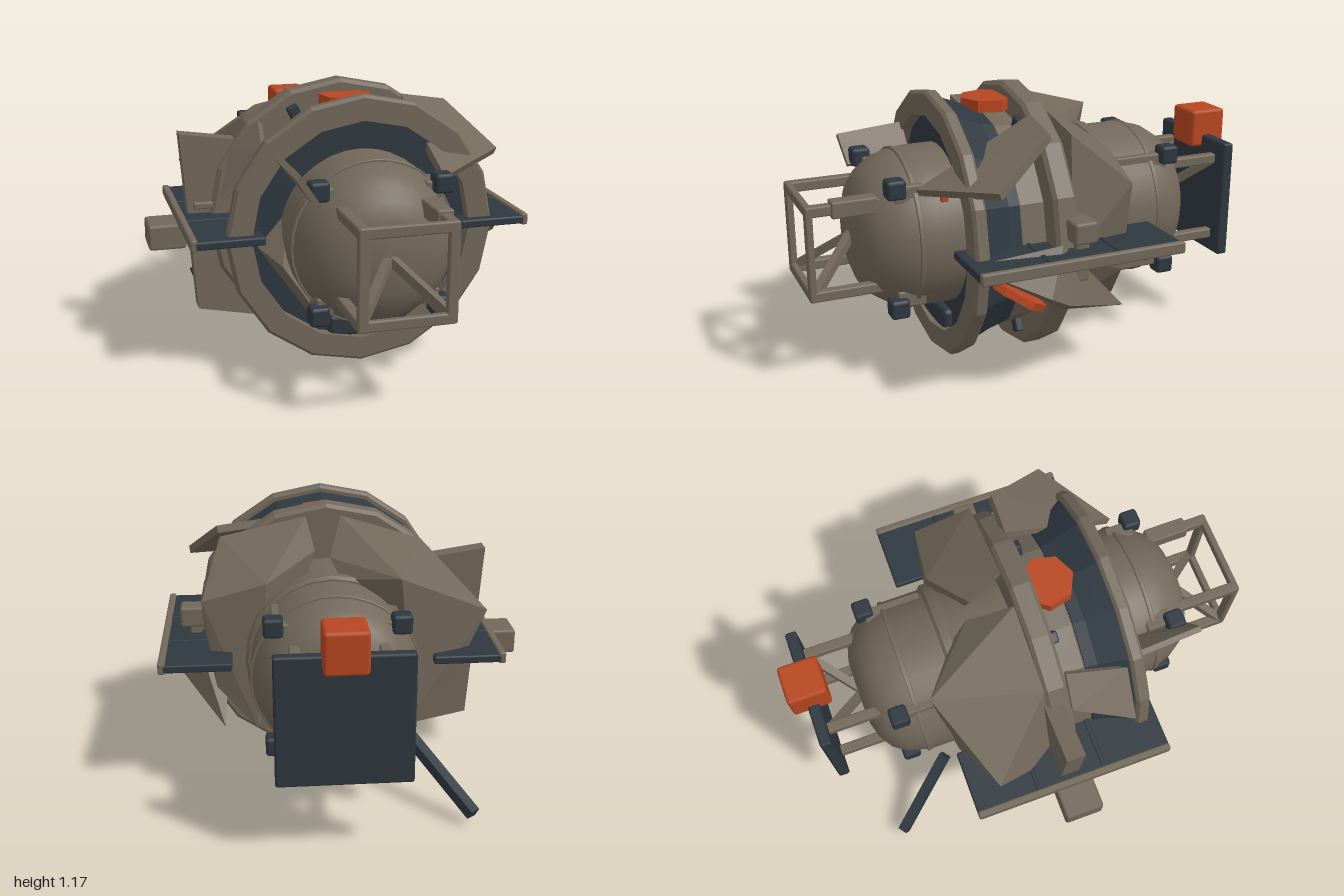
import * as THREE from 'three';
import { RoundedBoxGeometry } from 'three/addons/geometries/RoundedBoxGeometry.js';
import { ConvexGeometry } from 'three/addons/geometries/ConvexGeometry.js';
import { toCreasedNormals } from 'three/addons/utils/BufferGeometryUtils.js';

const CX = 0.06, CY = 0.595; // hull axis

export function createModel() {
  const model = new THREE.Group();
  const material = (name, color) => {
    const m = new THREE.MeshStandardMaterial({ color });
    m.name = name;
    return m;
  };
  const tan = material('weathered tan', 0x72685a);
  const navy = material('dark slate', 0x2e3840);
  const orange = material('signal orange', 0xb84720);

  const add = (name, geometry, mat, x = 0, y = 0, z = 0) => {
    const mesh = new THREE.Mesh(geometry, mat);
    mesh.name = name;
    mesh.position.set(x, y, z);
    model.add(mesh);
    return mesh;
  };
  const box = (name, mat, size, pos, bevel = 0.008) =>
    add(name, new RoundedBoxGeometry(...size, 1, bevel), mat, ...pos);

  // Lathe around the z axis; profile is [radius, z]
  const lathe = (name, mat, profile, sides, crease) => {
    const g = new THREE.LatheGeometry(profile.map(p => new THREE.Vector2(...p)), sides);
    g.rotateX(Math.PI / 2);
    return add(name, toCreasedNormals(g, crease), mat, CX, CY, 0);
  };
  const band = (name, mat, r0, r1, z0, z1, sides, b = 0.012) =>
    lathe(name, mat, [[r0, z0], [r1 - b, z0], [r1, z0 + b], [r1, z1 - b], [r1 - b, z1], [r0, z1], [r0, z0]], sides, sides > 20 ? 0.6 : 0.1);

  // Square bar between two points
  const beam = (name, mat, a, b, w) => {
    const p = new THREE.Vector3(...a), q = new THREE.Vector3(...b);
    const mesh = add(name, new THREE.BoxGeometry(w, w, p.distanceTo(q)), mat);
    mesh.position.copy(p).lerp(q, 0.5);
    mesh.lookAt(q);
    return mesh;
  };
  // Faceted chunk through a few corners
  const chunk = (name, mat, points) =>
    add(name, toCreasedNormals(new ConvexGeometry(points.map(p => new THREE.Vector3(...p))), 0.05), mat);
  // Thin plate: corners doubled along an offset
  const plate = (name, mat, points, o) =>
    chunk(name, mat, points.concat(points.map(p => p.map((v, i) => v + o[i]))));

  // Hull with domed ends
  lathe('hull', tan, [[0, -0.72], [0.15, -0.72], [0.22, -0.7], [0.28, -0.66], [0.32, -0.6], [0.345, -0.5],
    [0.345, 0.5], [0.335, 0.58], [0.31, 0.65], [0.27, 0.71], [0.22, 0.75], [0.15, 0.775], [0, 0.78]], 32, 0.6);
  band('rearCollar', tan, 0.3, 0.365, -0.33, -0.27, 24);
  band('rearBand', tan, 0.3, 0.349, -0.52, -0.5, 32, 0.003);
  band('frontBand', tan, 0.3, 0.346, 0.555, 0.575, 32, 0.003);

  // Dish with a flat front, and the two large rings
  lathe('dish', navy, [[0.3, 0.2], [0.49, 0.2], [0.5, 0.25], [0.55, 0.38], [0.3, 0.38]], 16, 0.1);
  band('frontRing', tan, 0.47, 0.575, 0.37, 0.43, 16);
  band('rearRing', tan, 0.3, 0.585, -0.01, 0.09, 16, 0.015);
  band('ringHub', tan, 0.3, 0.48, 0.08, 0.205, 16);
  for (const degrees of [65, 90, 115, 245, 270, 295]) {
    const a = THREE.MathUtils.degToRad(degrees);
    const block = box('ringBlock', navy, [0.08, 0.05, 0.04], [CX + Math.cos(a) * 0.49, CY + Math.sin(a) * 0.49, 0.1]);
    block.rotation.z = a;
  }

  // Side wings with tan end rails
  for (const s of [-1, 1]) {
    box('wing', navy, [0.29, 0.035, 0.88], [CX + s * 0.565, 0.603, 0.03]);
    box('wingRail', tan, [0.03, 0.05, 0.88], [CX + s * 0.71, 0.605, 0.03]);
    for (const z of [-0.13, 0.17]) box('wingRib', navy, [0.28, 0.045, 0.02], [CX + s * 0.565, 0.603, z], 0.004);
  }

  // Corner thrusters with mounts and rails
  for (const sx of [-1, 1]) for (const sy of [-1, 1]) {
    const x = CX + sx * 0.253, y = CY + sy * 0.255;
    for (const z of [-0.59, 0.65]) {
      box('thruster', navy, [0.08, 0.08, 0.08], [x, y, z], 0.014);
      box('thrusterMount', tan, [0.07, 0.07, 0.12], [x - sx * 0.03, y - sy * 0.03, z - Math.sign(z) * 0.06]);
    }
    box('hullRail', tan, [0.04, 0.04, 0.22], [x - sx * 0.015, y - sy * 0.015, -0.45]);
  }

  for (const s of [-1, 1]) {
    const x = CX + s * 0.175;
    // Front docking frame
    for (const t of [-1, 1]) box('frontStrut', tan, [0.045, 0.045, 0.42], [x, CY + t * 0.18, 0.785]);
    box('frontPost', tan, [0.045, 0.4, 0.03], [x, CY, 0.983]);
    box('frontCrossbar', tan, [0.39, 0.045, 0.03], [CX, CY + s * 0.18, 0.983]);
    beam('frontBrace', tan, [CX, CY, 0.77], [x, CY - 0.17, 0.97], 0.035);
    // Rear panel frame
    for (const t of [-1, 1]) box('rearStrut', tan, [0.045, 0.045, 0.32], [x, CY + t * 0.18, -0.74]);
    beam('rearBrace', tan, [CX, CY - 0.01, -0.7], [x, CY + 0.17, -0.88], 0.035);
  }
  box('frontStrutSleeve', tan, [0.07, 0.07, 0.19], [CX + 0.175, CY + 0.18, 0.8]);
  box('rearPanel', navy, [0.53, 0.53, 0.05], [CX, 0.595, -0.91], 0.01);
  box('beacon', orange, [0.17, 0.17, 0.17], [CX, 0.89, -0.915], 0.015);

  // Equipment boxes
  box('underslungBox', navy, [0.28, 0.1, 0.39], [CX, 0.178, -0.18], 0.02);
  box('underslungNeck', navy, [0.16, 0.1, 0.2], [CX, 0.25, -0.2]);
  box('dishBox', navy, [0.28, 0.1, 0.06], [CX, 0.178, 0.385], 0.02);
  box('sidePod', tan, [0.16, 0.11, 0.17], [-0.71, 0.535, 0.025], 0.012);
  box('sidePodArm', tan, [0.18, 0.05, 0.06], [-0.57, 0.535, 0.025]);
  box('podBracket', tan, [0.1, 0.03, 0.1], [-0.54, 0.655, 0.03]);
  box('sideBox', tan, [0.13, 0.09, 0.1], [0.64, 0.695, -0.005], 0.012);
  box('sideMast', tan, [0.05, 0.26, 0.06], [0.64, 0.61, -0.01]);
  beam('lowerBoom', navy, [-0.26, 0.275, -0.45], [-0.48, 0.065, -0.745], 0.045);

  // Faceted shroud behind the rear ring
  chunk('rightShroud', tan, [[-0.6, 0.78, -0.29], [-0.21, 0.98, -0.45], [-0.35, 1.02, -0.01], [0, 1.13, -0.01],
    [0.06, 1, -0.2], [-0.5, 0.5, -0.01], [-0.45, 0.45, -0.3], [-0.28, 0.36, -0.38], [0.02, 0.93, -0.28], [-0.32, 0.27, 0]]);
  chunk('leftShroud', tan, [[0.6, 0.84, -0.26], [0.33, 0.92, -0.29], [0.52, 1.05, -0.02], [0.15, 1.13, -0.01],
    [0.6, 0.55, 0], [0.55, 0.45, -0.25], [0.38, 0.27, -0.3], [0.48, 0.3, 0], [0.12, 1.02, -0.16]]);
  chunk('leftFlank', tan, [[0.64, 0.61, 0.47], [0.76, 0.47, 0.17], [0.74, 0.42, 0.08], [0.6, 0.34, 0.04],
    [0.52, 0.27, -0.28], [0.67, 0.65, 0.08], [0.5, 0.5, 0]]);

  // Torn plating around the rings
  plate('rightPlate', tan, [[-0.64, 0.97, -0.02], [-0.3, 0.92, -0.02], [-0.2, 0.1, -0.02], [-0.58, 0.18, -0.02]], [0, 0, 0.08]);
  plate('leftTopPlate', tan, [[0.67, 0.87, 0.34], [0.35, 0.82, 0.56], [0.53, 1.04, 0.07], [0.33, 1.07, 0.06]], [0.005, 0.03, 0.015]);
  plate('rightTopPlate', tan, [[-0.41, 0.88, 0.09], [-0.29, 1, 0.1], [-0.5, 0.74, 0.35], [-0.33, 0.93, 0.36]], [-0.02, 0.02, 0]);
  plate('frontShard', tan, [[-0.32, 0.94, 0.42], [-0.2, 0.8, 0.42], [-0.3, 0.92, 0.72], [-0.22, 0.8, 0.7]], [0.02, 0.015, 0]);
  chunk('frontChunk', tan, [[-0.39, 0.56, 0.36], [-0.14, 0.2, 0.36], [0.06, 0.24, 0.4], [-0.3, 0.5, 0.5],
    [-0.25, 0.7, 0.38], [-0.18, 0.32, 0.52]]);

  // Orange markers
  const disc = (name, r, h, pos, normal) => {
    const g = toCreasedNormals(new THREE.CylinderGeometry(r, r, h, 7), 0.1);
    add(name, g, orange, ...pos).quaternion.setFromUnitVectors(
      new THREE.Vector3(0, 1, 0), new THREE.Vector3(...normal).normalize());
  };
  disc('topDisc', 0.115, 0.05, [CX, 1.102, 0.155], [0, 1, 0]);
  disc('rightDisc', 0.04, 0.04, [-0.225, 0.105, 0.105], [-0.5, -0.87, 0]);
  disc('leftDisc', 0.155, 0.032, [0.505, 0.422, 0.23], [0, 0.84, -0.55]);
  box('plateMarker', orange, [0.025, 0.05, 0.03], [0.36, 0.812, 0.46], 0.004);

  return model;
}
